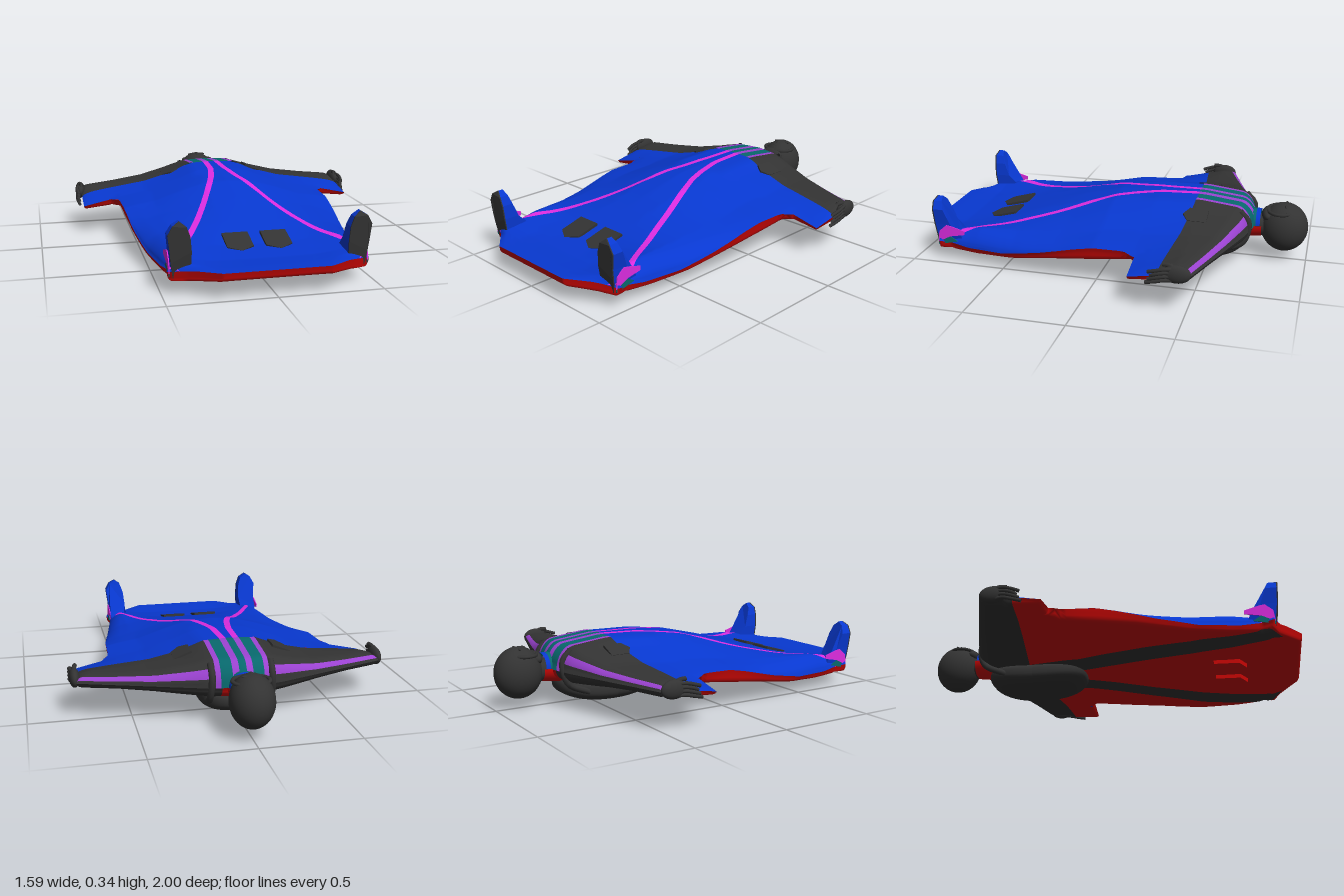
import * as THREE from 'three';

const mat = (name, color, o = {}) => Object.assign(new THREE.MeshStandardMaterial({ color, ...o }), { name });

// linear lookup in [key, value] pairs
function look(tab, k) {
  if (k <= tab[0][0]) return tab[0][1];
  for (let i = 1; i < tab.length; i++) {
    const [k0, v0] = tab[i - 1], [k1, v1] = tab[i];
    if (k <= k1) return v0 + (v1 - v0) * (k - k0) / (k1 - k0);
  }
  return tab[tab.length - 1][1];
}
const { lerp, clamp } = THREE.MathUtils;

// suit outline
const TIP = 0.76;
const LEAD = [[0, -0.735], [0.08, -0.725], [0.2, -0.70], [0.77, -0.52]];
const BACK = [[0.13, -0.43], [0.76, -0.36]];
const WIDTH = [[-0.43, 0.61], [-0.22, 0.61], [-0.205, 0.585], [-0.17, 0.572], [0, 0.565], [0.2, 0.55], [0.4, 0.525], [0.65, 0.485], [0.8, 0.46], [0.86, 0.475], [0.89, 0.4], [1, 0.25]];
const EDGE = [[-0.7, 0.19], [-0.2, 0.2], [0, 0.195], [0.1, 0.175], [0.3, 0.125], [0.5, 0.088], [0.7, 0.085], [0.85, 0.105], [0.92, 0.122], [1, 0.128]];
const W = z => look(WIDTH, z), lead = x => look(LEAD, x), back = x => look(BACK, x);

// heights: rows by z, columns by distance from the middle
const COLS = [0, 0.13, 0.25, 0.4, 0.57, 0.76];
const ROWS = [-0.7, -0.45, -0.22, 0, 0.2, 0.45, 0.65, 0.82, 1];
const TOP = [
  [.31, .305, .28, .25, .235, .225], [.34, .335, .285, .25, .235, .225], [.335, .33, .285, .235, .205, .2],
  [.317, .308, .275, .225, .2, .2], [.268, .262, .235, .2, .16, .16], [.2, .2, .195, .18, .125, .12],
  [.145, .145, .155, .175, .13, .12], [.128, .128, .13, .15, .13, .12], [.13, .13, .13, .13, .13, .13]];
const BOTTOM = [
  [.13, .13, .14, .15, .16, .16], [.1, .1, .12, .145, .155, .155], [.1, .1, .11, .13, .16, .18],
  [.09, .09, .095, .1, .135, .16], [.075, .075, .078, .085, .11, .12], [.06, .06, .06, .06, .07, .07],
  [.055, .055, .055, .053, .06, .06], [.07, .07, .065, .058, .062, .062], [.088, .088, .088, .085, .085, .085]];

// height of the suit skin, closing to a rounded rim along the outline; arm wings sag at the back
function skin(side, x, z) {
  x = Math.abs(x);
  const tab = side > 0 ? TOP : BOTTOM;
  const y = look(ROWS.map((r, i) => [r, look(COLS.map((c, j) => [c, tab[i][j]]), x)]), z);
  const d = Math.min(z - lead(x), 1 - z, Math.max(Math.min(TIP - x, -0.22 - z), W(z) - x));
  const k = 1 - clamp(d / (side > 0 || z < -0.4 ? 0.08 : 0.022), 0, 1);
  const sag = Math.max(0, x - 0.57) * 0.22 * clamp((z + 0.45) / 0.23, 0, 1);
  return lerp(look(EDGE, z), y, Math.sqrt(1 - k * k)) - sag;
}
function skinNormal(side, x, z) {
  const e = 0.005;
  return new THREE.Vector3((skin(side, x - e, z) - skin(side, x + e, z)) / (2 * e), 1,
    (skin(side, x, z - e) - skin(side, x, z + e)) / (2 * e)).normalize().multiplyScalar(side);
}

export function createModel() {
  const root = new THREE.Group();
  root.name = 'wingsuitFlyer';
  const D = { side: THREE.DoubleSide };
  const blue = mat('suit blue', 0x0838d0, D), red = mat('suit red', 0xcc0604, D), dark = mat('charcoal', 0x333333, D);
  const teal = mat('teal', 0x08686c, D), purple = mat('purple', 0x9a42d0, D), pink = mat('magenta', 0xdc2ce0, D);

  function add(name, geo, m, x = 0, y = 0, z = 0, parent = root) {
    const o = new THREE.Mesh(geo, m);
    o.name = name;
    o.position.set(x, y, z);
    parent.add(o);
    return o;
  }

  // piece of skin on both halves; at(s, t) gives [x, z]
  function patch(name, m, side, nu, nv, at) {
    for (const mir of [1, -1]) {
      const pos = [], nor = [], idx = [];
      for (let j = 0; j <= nv; j++) for (let i = 0; i <= nu; i++) {
        const [px, z] = at(i / nu, j / nv), x = px * mir;
        pos.push(x, skin(side, x, z), z);
        nor.push(...skinNormal(side, x, z).toArray());
        if (i < nu && j < nv) {
          const a = j * (nu + 1) + i, b = a + 1, c = a + nu + 1, d = c + 1;
          idx.push(...(mir * side > 0 ? [a, c, b, b, c, d] : [a, b, c, b, d, c]));
        }
      }
      const g = new THREE.BufferGeometry();
      g.setAttribute('position', new THREE.Float32BufferAttribute(pos, 3));
      g.setAttribute('normal', new THREE.Float32BufferAttribute(nor, 3));
      g.setIndex(idx);
      add(name, g, m);
    }
  }

  // body and leg wing, divided lengthwise by a stripe on each side
  const bodyAt = (a, b, outer) => (s, t) => {
    const tt = 1 - (1 - t) ** 1.8, zz = lerp(-0.43, 1, tt);
    const x = lerp(a(zz), b(zz), outer ? 1 - (1 - s) ** 2.2 : s);
    return [x, zz + (back(x) + 0.43) * (1 - tt) ** 6];
  };
  function body(side, base, stripeMat, line, wide, label) {
    const lo = z => Math.min(look(line, z) - look(wide, z), W(z)), hi = z => Math.min(look(line, z) + look(wide, z), W(z));
    patch(label + 'Middle', base, side, 8, 80, bodyAt(() => 0, lo));
    patch(label + 'Stripe', stripeMat, side, 3, 80, bodyAt(lo, hi));
    patch(label + 'Flank', base, side, 20, 80, bodyAt(hi, W, true));
    patch(label + 'ArmWing', base, side, 12, 12, (s, t) => {
      const x = lerp(0.61, TIP, 1 - (1 - s) ** 2);
      return [x, lerp(back(x), -0.22, 1 - (1 - t) ** 2)];
    });
  }
  body(1, blue, pink, [[-0.43, 0.033], [-0.25, 0.04], [-0.1, 0.068], [0, 0.097], [0.1, 0.132], [0.2, 0.17], [0.4, 0.25], [0.6, 0.34], [0.8, 0.445], [0.86, 0.455], [1, 0.24]],
    [[-0.43, 0.016], [0.7, 0.018], [0.8, 0.02], [0.86, 0.01], [0.88, 0]], 'front');
  body(-1, red, dark, [[-0.43, 0.1], [-0.15, 0.13], [0, 0.18], [0.2, 0.25], [0.5, 0.34], [0.85, 0.405], [1, 0.22]],
    [[-0.43, 0.06], [0, 0.07], [0.5, 0.07], [0.84, 0.055], [0.9, 0]], 'rear');

  // chest panel of stripes
  const chest = (a, b) => (s, t) => { const x = lerp(a, b, s); return [x, lerp(lead(x), -0.43, t * t)]; };
  [[0, 0.018, teal], [0.018, 0.05, purple], [0.05, 0.105, teal], [0.105, 0.13, purple]]
    .forEach(([a, b, m]) => patch('chestStripe', m, 1, 2, 16, chest(a, b)));
  patch('upperBack', red, -1, 4, 16, chest(0, 0.1));
  patch('backShoulder', dark, -1, 2, 16, chest(0.1, 0.13));

  // sleeves with a stripe along the leading edge
  const sleeve = (z0, z1) => (s, t) => {
    const x = lerp(0.13, TIP, 1 - (1 - s) ** 1.6);
    return [x, lerp(z0(x), z1(x), t * t)];
  };
  const off = d => x => lead(x) + d;
  patch('sleeveEdge', dark, 1, 24, 4, sleeve(lead, off(0.006)));
  patch('sleeveStripe', purple, 1, 24, 4, sleeve(off(0.006), off(0.028)));
  patch('sleeveTop', dark, 1, 24, 12, sleeve(off(0.028), back));
  patch('sleeveUnder', dark, -1, 24, 16, sleeve(lead, back));

  // pockets lying on the skin
  function pocket(x, z, side, m, k, sink) {
    const sh = new THREE.Shape([[-.064, .08], [-.064, -.05], [0, -.088], [.064, -.05], [.064, .08]].map(([a, b]) => new THREE.Vector2(a * k, b * side * k)));
    const g = new THREE.ExtrudeGeometry(sh, { depth: 0.022, bevelEnabled: false });
    const o = add('pocket', g, m, x, skin(side, x, z) - side * sink, z), n = skinNormal(side, x, z);
    o.rotation.set(-side * Math.PI / 2 + side * Math.atan2(n.z, n.y * side), 0, 0);
    o.rotateY(Math.atan2(n.x, n.y * side));
  }
  const ball = new THREE.SphereGeometry(1, 32, 20);
  const tube = (pts, r) => new THREE.TubeGeometry(new THREE.CatmullRomCurve3(pts.map(p => new THREE.Vector3(...p))), 14, r, 8);
  const plate = (pts, depth) => new THREE.ExtrudeGeometry(new THREE.Shape(pts.map(p => new THREE.Vector2(...p))), { depth, bevelEnabled: false });
  const SOLE = [[.376, .07], [.45, .08], [.46, .15], [.464, .2], [.474, .28], [.452, .32], [.42, .34], [.388, .315], [.372, .27], [.366, .2], [.368, .14]];
  const INSTEP = [[.07, .72], [.14, .74], [.18, .77], [.2, .8], [.28, .83], [.34, .848]];
  const HEEL = [[.07, .862], [.2, .88], [.32, .885], [.34, .872]];

  for (const s of [1, -1]) {
    pocket(s * 0.095, 0.63, 1, dark, 1, 0.01);
    pocket(s * 0.095, 0.63, -1, red, 1, 0.002);
    pocket(s * 0.24, -0.45, 1, dark, 0.74, 0.014);

    // gloved hand with curled fingers
    const hand = new THREE.Group();
    hand.name = 'hand';
    hand.scale.x = s;
    root.add(hand);
    add('palm', ball, dark, 0.765, 0.2, -0.455, hand).scale.set(0.026, 0.045, 0.068);
    for (let i = 0; i < 4; i++) {
      const y = 0.225 - i * 0.018, l = 0.012 * Math.abs(i - 1);
      add('finger', tube([[0.77, y, -0.45], [0.784, y, -0.4], [0.784, y - 0.01, -0.36], [0.777, y - 0.022, -0.335 + l]], 0.009), dark, 0, 0, 0, hand);
    }
    add('thumb', tube([[0.763, 0.21, -0.47], [0.763, 0.238, -0.43], [0.757, 0.24, -0.39]], 0.011), dark, 0, 0, 0, hand);

    // boot standing on its heel, with a dark sole
    const foot = new THREE.Group();
    foot.name = 'foot';
    foot.scale.x = s;
    root.add(foot);
    const bootPart = (name, m, z0, z1) => {
      const g = plate(SOLE, 1), p = g.attributes.position;
      for (let i = 0; i < p.count; i++) p.setZ(i, lerp(z0(p.getY(i)), z1(p.getY(i)), p.getZ(i)));
      g.computeVertexNormals();
      add(name, g, m, 0, 0, 0, foot);
    };
    const heel = y => look(HEEL, y);
    bootPart('boot', blue, y => look(INSTEP, y), heel);
    bootPart('sole', dark, heel, y => heel(y) + 0.006);
    const trim = (name, pts, m) => add(name, plate(pts, 0.005).rotateY(Math.PI / 2), m, 0.463, 0, 0, foot);
    trim('ankleStripe', [[-.868, .1], [-.86, .16], [-.82, .195], [-.79, .19], [-.72, .17], [-.72, .15], [-.8, .135]], pink);
    trim('heelTrim', [[-.866, .085], [-.868, .1], [-.8, .135], [-.76, .11]], teal);

    // shoulder strap of the pack
    add('shoulderStrap', tube([[s * 0.14, 0.07, -0.56], [s * 0.15, 0.13, -0.68], [s * 0.145, 0.24, -0.705], [s * 0.145, 0.295, -0.66]], 0.017), dark);
  }

  // parachute pack with squared sides
  const pack = new THREE.SphereGeometry(1, 40, 24);
  const pp = pack.attributes.position, sq = v => Math.sign(v) * Math.abs(v) ** 0.75;
  for (let i = 0; i < pp.count; i++) {
    const z = sq(pp.getZ(i));
    pp.setXYZ(i, sq(pp.getX(i)) * 0.17, sq(pp.getY(i)) * 0.07 + 0.025 * z * z, z * 0.268);
  }
  pack.computeVertexNormals();
  add('parachutePack', pack, dark, 0, 0.07, -0.41);

  // collar: teal with a blue band in front, red behind
  const collar = (m, start, r0, r1, len, z) =>
    add('collar', new THREE.CylinderGeometry(r0, r1, len, 20, 1, true, start, Math.PI).rotateX(Math.PI / 2), m, 0, 0.195, z);
  collar(teal, Math.PI / 2, 0.078, 0.068, 0.1, -0.705);
  collar(blue, Math.PI / 2, 0.072, 0.07, 0.022, -0.745);
  collar(red, -Math.PI / 2, 0.085, 0.072, 0.1, -0.715);
  add('neck', new THREE.CylinderGeometry(0.058, 0.058, 0.14, 20).rotateX(Math.PI / 2), dark, 0, 0.18, -0.77);

  // helmet and face
  const head = new THREE.Group();
  head.name = 'head';
  head.position.set(0, 0.18, -0.878);
  root.add(head);
  add('helmet', ball, dark, 0, 0, 0, head).scale.set(0.107, 0.13, 0.122);
  add('visorRim', new THREE.TorusGeometry(0.075, 0.009, 8, 32).rotateX(Math.PI / 2), dark, 0, 0.09, 0.022, head).scale.set(1.15, 1, 0.92);
  add('face', ball, dark, 0, 0.075, 0.02, head).scale.set(0.065, 0.045, 0.07);
  add('nose', ball, dark, 0, 0.118, 0.022, head).scale.set(0.011, 0.014, 0.022);
  add('lips', ball, dark, 0, 0.108, 0.055, head).scale.set(0.024, 0.008, 0.007);
  add('chinGuard', ball, dark, 0, 0.065, 0.085, head).scale.set(0.07, 0.035, 0.034);
  for (const s of [1, -1]) {
    add('brow', ball, dark, s * 0.03, 0.12, -0.004, head).scale.set(0.023, 0.007, 0.006);
    add('eye', ball, dark, s * 0.03, 0.115, 0.01, head).scale.set(0.012, 0.006, 0.006);
  }
  return root;
}
